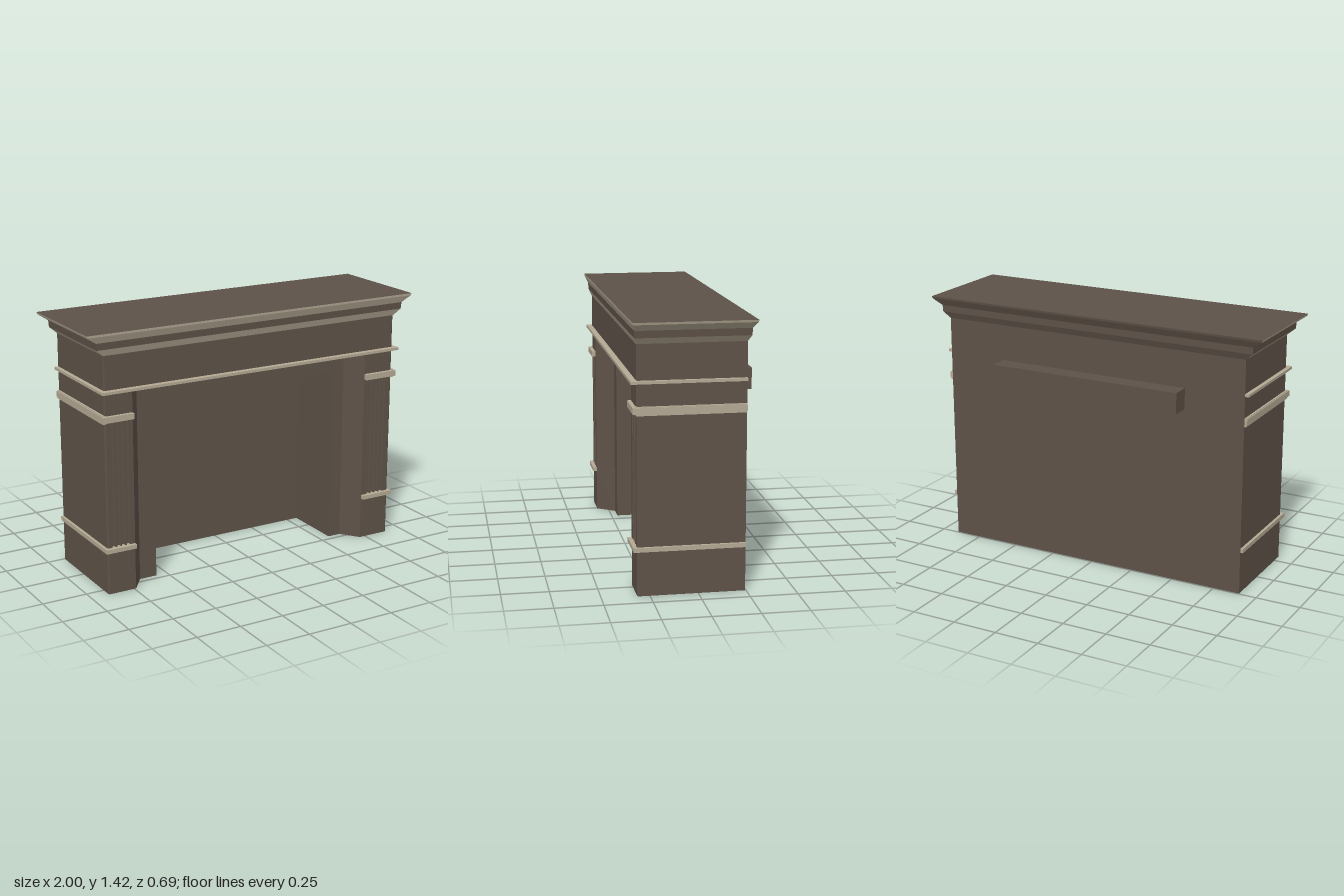
import * as THREE from 'three';

const wood = new THREE.MeshStandardMaterial({ color: 0x5e5248 });
wood.name = 'brown wood';
const trim = new THREE.MeshStandardMaterial({ color: 0xb4a994 });
trim.name = 'pale trim';

const BACK = -0.245, FRONT = 0.316, RECESS = 0.215, FIREBOX = -0.13;
const OPENING = 0.565, SIDE = 0.9, BEVEL = 0.007;

function add(group, name, geometry, material) {
  const mesh = new THREE.Mesh(geometry, material);
  mesh.name = name;
  group.add(mesh);
}

// Box given by its limits on each axis
function block(group, name, [x0, x1], [y0, y1], [z0, z1], material = wood) {
  const g = new THREE.BoxGeometry(Math.abs(x1 - x0), y1 - y0, z1 - z0);
  g.translate((x0 + x1) / 2, (y0 + y1) / 2, (z0 + z1) / 2);
  add(group, name, g, material);
}

// Upright prism from a floor plan of [x, z] points
function prism(group, name, plan, y0, y1) {
  const shape = new THREE.Shape(plan.map(([x, z]) => new THREE.Vector2(x, -z)));
  const g = new THREE.ExtrudeGeometry(shape, { depth: y1 - y0, bevelEnabled: false });
  g.rotateX(-Math.PI / 2).translate(0, y0, 0);
  add(group, name, g, wood);
}

// Floor plan of one leg; side is +1 or -1, inner is where the pilaster front ends
function legPlan(side, inner, fluted) {
  const plan = [[SIDE, BACK], [SIDE, FRONT - BEVEL], [SIDE - BEVEL, FRONT]];
  if (fluted) {
    const count = 4, pitch = 0.028;
    const start = (SIDE + inner) / 2 + (count * pitch) / 2;
    for (let i = 0; i < count; i++) {
      const x = start - i * pitch;
      plan.push([x - 0.003, FRONT], [x - 0.007, FRONT - 0.018],
        [x - 0.021, FRONT - 0.018], [x - 0.025, FRONT]);
    }
  }
  plan.push([inner, FRONT], [inner - 0.075, RECESS], [OPENING, RECESS], [OPENING, BACK]);
  return plan.map(([x, z]) => [x * side, z]);
}

// One row of the cornice between two rectangles: front and sides, or the back alone
function corniceRow(a, b, faces) {
  const ring = ({ w, f, r, y }) => [[-w, y, r], [-w, y, f], [w, y, f], [w, y, r]];
  const lo = ring(a), hi = ring(b), pos = [];
  for (const i of faces) {
    const j = (i + 1) % 4;
    pos.push(...lo[i], ...lo[j], ...hi[j], ...lo[i], ...hi[j], ...hi[i]);
  }
  const g = new THREE.BufferGeometry();
  g.setAttribute('position', new THREE.Float32BufferAttribute(pos, 3));
  g.computeVertexNormals();
  return g;
}

export function createModel() {
  const model = new THREE.Group();
  model.name = 'fireplace';

  // Legs with fluted pilasters, splayed reveals and bands
  for (const [side, inner, label] of [[1, 0.715, 'left'], [-1, 0.74, 'right']]) {
    const leg = new THREE.Group();
    leg.name = label + 'Leg';
    prism(leg, 'legBase', legPlan(side, inner, false), 0, 0.25);
    prism(leg, 'flutedPilaster', legPlan(side, inner, true), 0.25, 0.96);
    prism(leg, 'legTop', legPlan(side, inner, false), 0.96, 1.1);
    const xs = (outer) => [side * inner, side * outer];
    block(leg, 'lowerBand', xs(0.915), [0.237, 0.26], [BACK + 0.001, 0.337], trim);
    block(leg, 'upperFrontBand', xs(0.916), [0.95, 0.982], [BACK + 0.001, 0.337], trim);
    block(leg, 'upperSideBand', [side * 0.89, side * 0.911], [0.94, 0.986],
      [BACK + 0.001, FRONT + 0.003], trim);
    model.add(leg);
  }

  // Firebox back and the panel over the opening
  block(model, 'fireboxBack', [-OPENING, OPENING], [0, 1.1], [BACK, FIREBOX]);
  block(model, 'lintel', [-OPENING, OPENING], [0.99, 1.1], [FIREBOX, RECESS]);

  // Frieze and its thin moulding
  prism(model, 'frieze', [[SIDE, BACK], [SIDE, FRONT - BEVEL], [SIDE - BEVEL, FRONT],
    [-SIDE + BEVEL, FRONT], [-SIDE, FRONT - BEVEL], [-SIDE, BACK]], 1.1, 1.3);
  block(model, 'friezeMoulding', [-0.922, 0.922], [1.102, 1.117], [BACK + 0.001, 0.347], trim);

  // Cornice: two pale flares with a brown strip between, brown at the back
  const levels = [
    { y: 1.3, w: 0.9, f: 0.317, r: BACK },
    { y: 1.335, w: 0.94, f: 0.33, r: -0.258 },
    { y: 1.372, w: 0.943, f: 0.332, r: -0.259 },
    { y: 1.408, w: 0.996, f: 0.346, r: -0.276 },
    { y: 1.42, w: 1, f: 0.347, r: -0.278 },
  ];
  const cornice = new THREE.Group();
  cornice.name = 'cornice';
  for (let i = 0; i < levels.length - 1; i++) {
    add(cornice, 'corniceMoulding', corniceRow(levels[i], levels[i + 1], [0, 1, 2]),
      i === 1 ? wood : trim);
    add(cornice, 'corniceBack', corniceRow(levels[i], levels[i + 1], [3]), wood);
  }
  const top = new THREE.PlaneGeometry(2, 0.625);
  top.rotateX(-Math.PI / 2).translate(0, 1.42, 0.0345);
  add(cornice, 'mantelTop', top, wood);
  model.add(cornice);

  // Mounting beam on the back
  block(model, 'rearBeam', [-0.56, 0.555], [0.985, 1.1], [-0.347, BACK]);

  return model;
}
